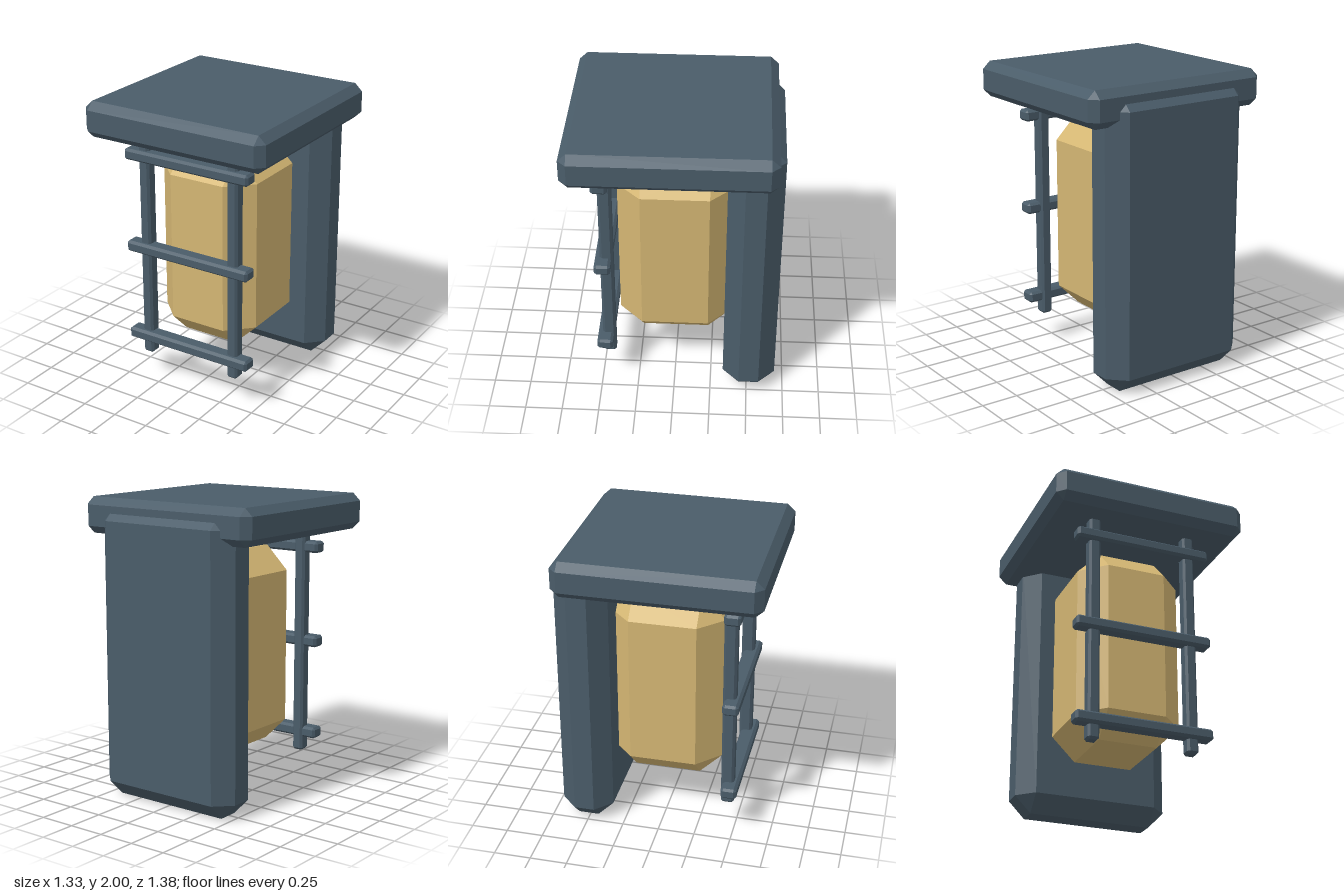
import * as THREE from 'three';
import { ConvexGeometry } from 'three/addons/geometries/ConvexGeometry.js';

// Box between two corners, with its edges cut off by a bevel [bx, by, bz]
function bevelledBox(min, max, bevel) {
  const points = [];
  for (const sx of [0, 1]) for (const sy of [0, 1]) for (const sz of [0, 1]) {
    const side = [sx, sy, sz];
    for (let face = 0; face < 3; face++) {
      const p = side.map((s, i) => {
        const inset = i === face ? 0 : bevel[i];
        return s ? max[i] - inset : min[i] + inset;
      });
      points.push(new THREE.Vector3(...p));
    }
  }
  return new ConvexGeometry(points);
}

export function createModel() {
  const model = new THREE.Group();
  model.name = 'wallLantern';
  const slate = new THREE.MeshStandardMaterial({ color: 0x4a5c69 });
  slate.name = 'slate metal';
  const amber = new THREE.MeshStandardMaterial({ color: 0xd4b673 });
  amber.name = 'amber glass';

  const add = (name, material, min, max, bevel) => {
    const mesh = new THREE.Mesh(bevelledBox(min, max, bevel), material);
    mesh.name = name;
    model.add(mesh);
  };

  // Main blocks
  add('roof', slate, [-0.667, 1.76, -0.647], [0.667, 2, 0.69], [0.053, 0.05, 0.054]);
  add('backPlate', slate, [-0.535, 0, -0.69], [0.535, 1.97, -0.335], [0.11, 0.112, 0.11]);
  add('lampGlass', amber, [-0.36, 0.315, -0.382], [0.36, 1.66, 0.382], [0.16, 0.158, 0.158]);

  // Upright cage bars
  for (const [name, x] of [['leftUprightBar', 0.336], ['rightUprightBar', -0.336]]) {
    add(name, slate, [x - 0.039, 0.205, 0.405], [x + 0.039, 1.78, 0.493], [0.014, 0.015, 0.016]);
  }

  // Cross bars
  for (const [name, y] of [['lowerCrossBar', 0.338], ['middleCrossBar', 0.987], ['upperCrossBar', 1.637]]) {
    add(name, slate, [-0.468, y - 0.038, 0.418], [0.468, y + 0.038, 0.525], [0.015, 0.015, 0.018]);
  }
  return model;
}
